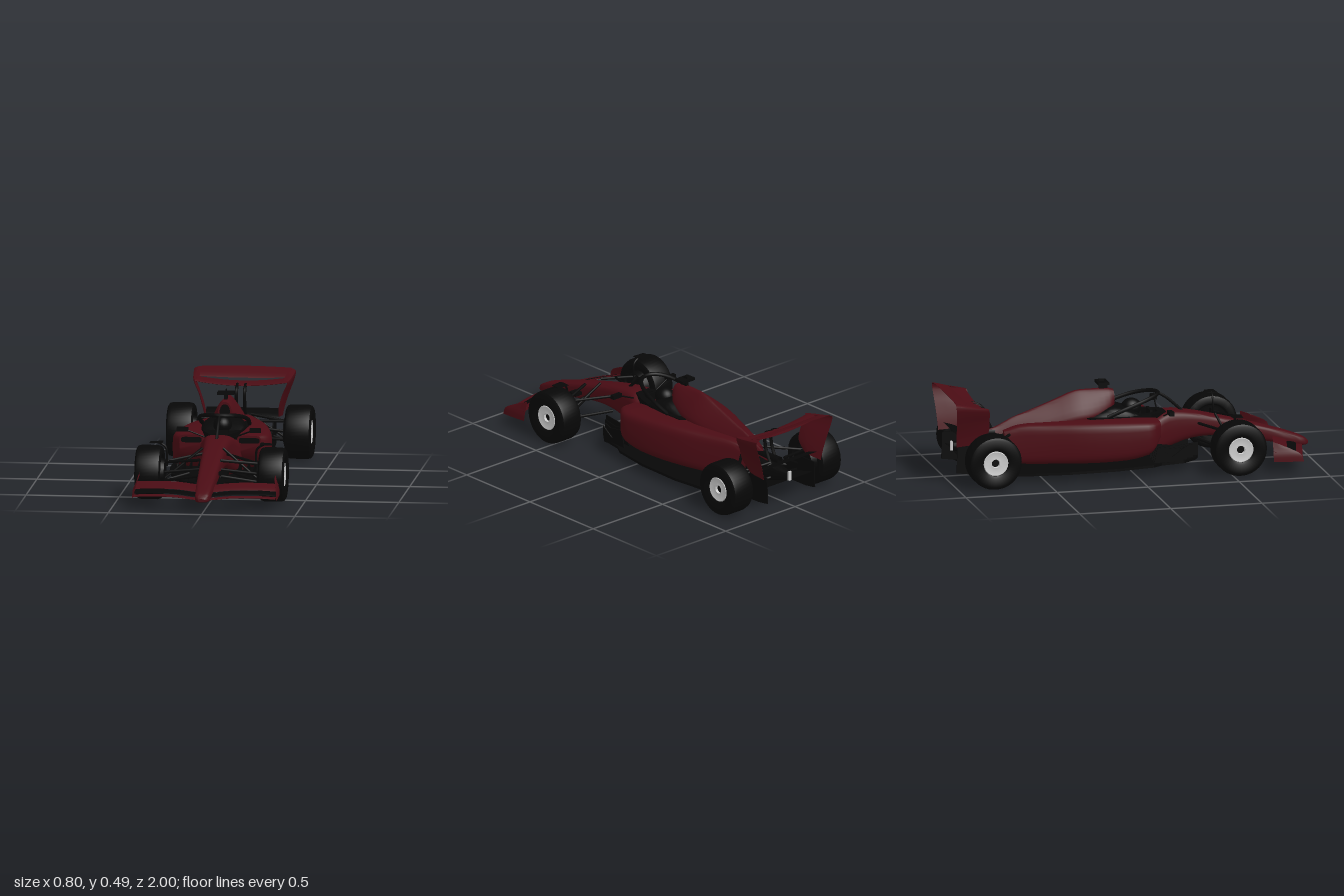
import * as THREE from 'three';
import { toCreasedNormals } from 'three/addons/utils/BufferGeometryUtils.js';

const mat = (color) => new THREE.MeshStandardMaterial({ color, side: THREE.DoubleSide });
const V = (x, y, z) => new THREE.Vector3(x, y, z);

export function createModel() {
  const car = new THREE.Group();
  car.name = 'racingCar';
  const red = mat(0x4a0c14), black = mat(0x070707), grey = mat(0xcccccc);

  const add = (name, geo, material, x = 0, y = 0, z = 0) => {
    const m = new THREE.Mesh(geo, material);
    m.name = name;
    m.position.set(x, y, z);
    car.add(m);
    return m;
  };
  const both = (fn) => [['left', 1], ['right', -1]].forEach(([side, s]) => fn(s, side));

  // Skin through equal-length rings, smoothed lengthwise, capped, facing outward
  function loft(name, material, rings) {
    const n = rings[0].length, rows = (rings.length - 1) * 3;
    const curves = rings[0].map((_, i) => new THREE.CatmullRomCurve3(rings.map((r) => r[i])));
    const pos = [], idx = [];
    for (let j = 0; j <= rows; j++) curves.forEach((c) => pos.push(...c.getPoint(j / rows).toArray()));
    for (let j = 0; j < rows; j++) for (let i = 0; i < n; i++) {
      const a = j * n + i, b = j * n + (i + 1) % n;
      idx.push(a, b, a + n, b, b + n, a + n);
    }
    for (let i = 1; i < n - 1; i++) {
      const e = rows * n;
      idx.push(0, i + 1, i, e, e + i, e + i + 1);
    }
    let volume = 0;
    const p = (i) => V(pos[i * 3], pos[i * 3 + 1], pos[i * 3 + 2]);
    for (let i = 0; i < idx.length; i += 3) volume += p(idx[i]).dot(p(idx[i + 1]).cross(p(idx[i + 2])));
    if (volume < 0) idx.reverse();
    const geo = new THREE.BufferGeometry();
    geo.setAttribute('position', new THREE.Float32BufferAttribute(pos, 3));
    geo.setIndex(idx);
    return add(name, toCreasedNormals(geo, 0.6), material);
  }

  // Rounded body section: [z, centreX, halfWidth, bottom, top, widthRatioAtTop]
  const section = ([z, cx, w, y0, y1, top = 1], power = 3.2) => Array.from({ length: 28 }, (_, i) => {
    const a = i / 28 * Math.PI * 2, e = 2 / power;
    const c = Math.sign(Math.cos(a)) * Math.abs(Math.cos(a)) ** e;
    const s = Math.sign(Math.sin(a)) * Math.abs(Math.sin(a)) ** e;
    return V(cx + w * c * THREE.MathUtils.lerp(1, top, (s + 1) / 2), (y0 + y1) / 2 + s * (y1 - y0) / 2, z);
  });
  const body = (name, material, rows, power) => loft(name, material, rows.map((r) => section(r, power)));

  // Wing or plate from [leading xyz, trailing xyz] stations
  const foil = (name, material, rows, t, normal = V(0, 1, 0)) => loft(name, material, rows.map((r) => {
    const a = V(...r.slice(0, 3)), b = V(...r.slice(3));
    return [[0, 0], [0.1, 0.7], [0.35, 1], [0.7, 0.6], [1, 0.1], [1, -0.1], [0.7, -0.6], [0.35, -1], [0.1, -0.7]]
      .map(([u, h]) => a.clone().lerp(b, u).addScaledVector(normal, h * t));
  }));

  const tube = (name, material, pts, r) => add(name, new THREE.TubeGeometry(
    new THREE.CatmullRomCurve3(pts.map((p) => V(...p))), pts.length > 2 ? 28 : 1, r, 8), material);
  const box = (name, material, w, h, d, x, y, z) => add(name, new THREE.BoxGeometry(w, h, d), material, x, y, z);

  // Horizontal slab from a half outline of [x, z], mirrored
  const slab = (half, y, h, hole) => {
    const outline = (pts) => [...pts, ...pts.slice().reverse().map(([x, z]) => [-x, z])].map(([x, z]) => new THREE.Vector2(x, -z));
    const shape = new THREE.Shape(outline(half));
    if (hole) shape.holes.push(new THREE.Path(outline(hole)));
    return new THREE.ExtrudeGeometry(shape, { depth: h, bevelEnabled: false }).rotateX(-Math.PI / 2).translate(0, y, 0);
  };
  // Upright plate from a [z, y] outline
  const plate = (name, material, pts, x, t = 0.006) => add(name, new THREE.ExtrudeGeometry(
    new THREE.Shape(pts.map(([z, y]) => new THREE.Vector2(-z, y))), { depth: t, bevelEnabled: false })
    .rotateY(Math.PI / 2).translate(x - t / 2, 0, 0), material);

  // Nose and survival cell
  body('noseAndChassis', red, [
    [0.998, 0, 0.018, 0.068, 0.083], [0.98, 0, 0.036, 0.062, 0.1, 0.9], [0.92, 0, 0.045, 0.066, 0.128, 0.9],
    [0.7, 0, 0.052, 0.11, 0.197], [0.5, 0, 0.059, 0.145, 0.25], [0.35, 0, 0.068, 0.14, 0.284],
    [0.22, 0, 0.085, 0.1, 0.297], [0.14, 0, 0.11, 0.07, 0.268], [0, 0, 0.13, 0.06, 0.255],
    [-0.2, 0, 0.13, 0.06, 0.28], [-0.45, 0, 0.09, 0.06, 0.27], [-0.64, 0, 0.05, 0.08, 0.25]], 4);

  // Sidepods with slot intakes sweep in towards the gearbox
  both((s, side) => {
    body(side + 'Sidepod', red, [
      [0.14, s * 0.155, 0.065, 0.19, 0.282], [0.09, s * 0.17, 0.09, 0.12, 0.288], [0, s * 0.165, 0.096, 0.088, 0.291],
      [-0.15, s * 0.14, 0.104, 0.072, 0.292, 0.95], [-0.3, s * 0.11, 0.1, 0.066, 0.288, 0.9],
      [-0.45, s * 0.075, 0.085, 0.063, 0.28, 0.8], [-0.6, s * 0.045, 0.06, 0.063, 0.268, 0.7],
      [-0.68, s * 0.03, 0.045, 0.075, 0.24, 0.7]], 4.5);
    body(side + 'Intake', black, [[0.143, s * 0.155, 0.055, 0.24, 0.27], [0.12, s * 0.155, 0.055, 0.24, 0.27]], 5);
  });

  // Engine cover with roll hoop and spine
  body('engineCover', red, [
    [-0.07, 0, 0.045, 0.34, 0.425, 0.6], [-0.1, 0, 0.075, 0.3, 0.433, 0.42], [-0.2, 0, 0.115, 0.26, 0.434, 0.22],
    [-0.28, 0, 0.125, 0.25, 0.43, 0.16], [-0.4, 0, 0.105, 0.23, 0.385, 0.16], [-0.52, 0, 0.08, 0.21, 0.34, 0.18],
    [-0.63, 0, 0.055, 0.18, 0.3, 0.2], [-0.72, 0, 0.035, 0.18, 0.255, 0.3], [-0.8, 0, 0.022, 0.19, 0.235, 0.5]], 2.6);
  body('airIntake', black, [[-0.066, 0, 0.033, 0.355, 0.412, 0.6], [-0.08, 0, 0.033, 0.355, 0.412, 0.6]], 2.6);
  box('cameraPost', black, 0.018, 0.035, 0.045, 0, 0.447, -0.125);
  box('cameraPod', black, 0.09, 0.014, 0.06, 0, 0.465, -0.13);
  box('antenna', black, 0.005, 0.03, 0.03, 0, 0.47, -0.135);

  // Cockpit rim, headrest, helmet and wheel
  add('cockpitRim', slab([[0.045, 0.21], [0.085, 0.12], [0.115, 0.02], [0.125, -0.1], [0.12, -0.22], [0.06, -0.25]], 0.24, 0.056,
    [[0.03, 0.17], [0.06, 0.1], [0.075, 0.02], [0.075, -0.06]]), black);
  body('headrest', black, [[0.06, 0, 0.1, 0.28, 0.295], [0, 0, 0.125, 0.28, 0.325, 0.85],
    [-0.08, 0, 0.125, 0.27, 0.348, 0.75], [-0.15, 0, 0.118, 0.27, 0.325, 0.7], [-0.23, 0, 0.1, 0.27, 0.297, 0.7]]);
  add('helmet', new THREE.SphereGeometry(0.05, 24, 16).scale(1, 1, 1.1), black, 0, 0.32, 0.03);
  box('steeringWheel', black, 0.09, 0.045, 0.015, 0, 0.285, 0.13);

  // Halo
  tube('haloHoop', black, [[0.125, 0.3, -0.13], [0.13, 0.34, -0.03], [0.108, 0.375, 0.08], [0.055, 0.392, 0.155],
    [0, 0.394, 0.175], [-0.055, 0.392, 0.155], [-0.108, 0.375, 0.08], [-0.13, 0.34, -0.03], [-0.125, 0.3, -0.13]], 0.011);
  tube('haloPost', black, [[0, 0.392, 0.175], [0, 0.36, 0.225], [0, 0.285, 0.31]], 0.008);
  both((s, side) => {
    box(side + 'Mirror', black, 0.06, 0.022, 0.025, s * 0.195, 0.321, 0.2);
    tube(side + 'MirrorStay', black, [[s * 0.18, 0.32, 0.2], [s * 0.08, 0.28, 0.19]], 0.004);
    box(side + 'NosePod', black, 0.055, 0.016, 0.05, s * 0.075, 0.165, 0.65);
  });

  // Raked floor and plank, bargeboards and diffuser
  const floor = add('floor', slab([[0.05, 0.33], [0.11, 0.37], [0.16, 0.345], [0.22, 0.27], [0.24, 0.14], [0.27, 0.09], [0.3, -0.12],
    [0.3, -0.38], [0.275, -0.56], [0.25, -0.68], [0.15, -0.7]], 0.046, 0.014), black);
  const plank = add('plank', slab([[0.06, 0.33], [0.15, 0.1], [0.155, -0.6], [0.1, -0.7]], 0.038, 0.01), black);
  floor.rotation.x = plank.rotation.x = -0.012;
  both((s, side) => {
    [0.11, 0.155, 0.19].forEach((x, i) => plate(side + 'Bargeboard', black,
      [[0.37 - i * 0.04, 0.05], [0.37 - i * 0.04, 0.135], [0.25, 0.12], [0.12, 0.14], [0.1, 0.05]], s * x));
    plate(side + 'OuterFence', black, [[0.26, 0.05], [0.27, 0.14], [0.2, 0.09], [0.12, 0.15], [0.1, 0.05]], s * 0.226);
    plate(side + 'DiffuserFence', black, [[-0.66, 0.042], [-0.9, 0.045], [-0.97, 0.055], [-0.965, 0.2], [-0.86, 0.2], [-0.7, 0.1]], s * 0.17);
  });
  foil('diffuser', black, [-0.17, 0, 0.17].map((x) => [x, 0.052, -0.66, x, 0.14, -0.95]), 0.007);
  body('gearbox', black, [[-0.55, 0, 0.08, 0.07, 0.23], [-0.72, 0, 0.06, 0.08, 0.22], [-0.85, 0, 0.04, 0.11, 0.2], [-0.95, 0, 0.02, 0.14, 0.185]]);
  tube('exhaust', black, [[0, 0.225, -0.7], [0, 0.23, -0.88]], 0.02);
  box('rainLight', grey, 0.018, 0.05, 0.012, 0, 0.165, -0.957);

  // Front wing: swept, arched stack of three thin elements, with endplates
  [['frontWingMain', red, 0, 0.045, 0.068, 0.073], ['frontWingLowerFlap', black, 0.035, 0.095, 0.079, 0.092],
    ['frontWingUpperFlap', red, 0.085, 0.162, 0.096, 0.124]].forEach(([name, m, d0, d1, y0, y1]) =>
    foil(name, m, [-0.38, -0.3, -0.15, -0.03, 0.03, 0.15, 0.3, 0.38].map((x) => {
      const a = Math.abs(x), z = 0.967 - 0.23 * a, arch = 0.012 * Math.sin(Math.PI * a / 0.38);
      return [x, y0 + arch, z - d0, x, y1 + arch, z - d1];
    }), 0.003));
  both((s, side) => foil(side + 'FrontEndplate', red, [
    [s * 0.386, 0.062, 0.885, s * 0.386, 0.068, 0.72], [s * 0.384, 0.1, 0.87, s * 0.384, 0.1, 0.718],
    [s * 0.374, 0.13, 0.82, s * 0.374, 0.135, 0.718], [s * 0.366, 0.155, 0.765, s * 0.364, 0.172, 0.72]], 0.003, V(1, 0, 0)));

  // Rear wing: main plane, flap, curled endplates, beam wing and twin pylons
  const spans = [-0.25, -0.2, -0.1, 0, 0.1, 0.2, 0.25];
  foil('rearWingMain', red, spans.map((x) => {
    const y = 0.385 + 0.35 * x * x;
    return [x, y, -0.815, x, y + 0.012, -0.91];
  }), 0.006);
  foil('rearWingFlap', red, spans.map((x) => [x, 0.415 + 0.1 * x * x, -0.895, x, 0.462 - 0.1 * x * x, -0.997]), 0.006);
  both((s, side) => foil(side + 'RearEndplate', red, [
    [s * 0.23, 0.415, -0.825, s * 0.245, 0.456, -0.997], [s * 0.25, 0.412, -0.812, s * 0.272, 0.442, -0.996],
    [s * 0.242, 0.385, -0.805, s * 0.266, 0.4, -0.992], [s * 0.222, 0.34, -0.803, s * 0.246, 0.345, -0.987],
    [s * 0.203, 0.27, -0.805, s * 0.22, 0.27, -0.982], [s * 0.198, 0.215, -0.86, s * 0.205, 0.205, -0.978]], 0.006, V(1, 0, 0)));
  foil('beamWing', black, [-0.2, 0, 0.2].map((x) => [x, 0.21, -0.86, x, 0.245, -0.95]), 0.006);
  both((s, side) => tube(side + 'WingPylon', black,
    [[s * 0.022, 0.2, -0.83], [s * 0.022, 0.29, -0.79], [s * 0.022, 0.365, -0.79], [s * 0.022, 0.39, -0.84]], 0.009));

  // Wheels with brake drums, winglets and suspension
  const R = 0.145;
  const lathe = (pts) => new THREE.LatheGeometry(pts.map((p) => new THREE.Vector2(...p)), 48);
  const axles = [
    { end: 'Front', z: 0.538, x: 0.262, w: 0.138, hub: 0.055, inner: [0.38, 0.6], push: 0.27 },
    { end: 'Rear', z: -0.805, x: 0.246, w: 0.142, hub: 0.05, inner: [-0.64, -0.86], push: 0.22 }];
  axles.forEach(({ end, z, x, w, hub, inner, push }) => both((s, side) => {
    const tyre = toCreasedNormals(lathe([[0.001, 0.03], [0.09, 0.02], [0.1, 0.002], [0.128, 0], [0.14, 0.008], [R, 0.026],
      [R, w - 0.026], [0.14, w - 0.008], [0.128, w], [0.08, w - 0.003], [0.068, w - 0.01], [0.064, w - 0.025], [0.001, w - 0.025]]), 0.7);
    const rim = toCreasedNormals(lathe([[0.068, w - 0.012], [0.064, w - 0.008], [0.04, w - 0.014], [0.023, w - 0.012], [0.02, w - 0.025]]), 0.7);
    [[end + 'Tyre', tyre, black], [end + 'Rim', rim, grey]].forEach(([n, g, m]) => {
      add(side + n, g, m, s * x, R, z).rotation.z = -s * Math.PI / 2;
    });
    add(side + end + 'BrakeDrum', new THREE.CylinderGeometry(0.085, 0.07, 0.05, 24), black, s * (x + 0.012), R, z).rotation.z = -s * Math.PI / 2;
    const outer = s * (x - 0.005);
    inner.forEach((zi) => {
      tube(side + end + 'UpperArm', black, [[s * hub, 0.225, zi], [outer, 0.2, z]], 0.008);
      tube(side + end + 'LowerArm', black, [[s * hub, 0.14, zi], [outer, 0.1, z]], 0.008);
    });
    tube(side + end + 'PushRod', black, [[s * hub, push, z - 0.06], [outer, 0.11, z]], 0.007);
    tube(side + end + 'TrackRod', black, [[s * hub, 0.17, z + 0.03], [outer, 0.15, z + 0.03]], 0.008);
  }));
  both((s, side) => {
    foil(side + 'WheelWinglet', black, [[s * 0.262, 0.307, 0.57, s * 0.262, 0.309, 0.5], [s * 0.33, 0.307, 0.565, s * 0.33, 0.307, 0.51]], 0.003);
    tube(side + 'WingletStay', black, [[s * 0.24, 0.18, 0.54], [s * 0.245, 0.28, 0.54], [s * 0.28, 0.306, 0.54]], 0.006);
  });
  return car;
}
